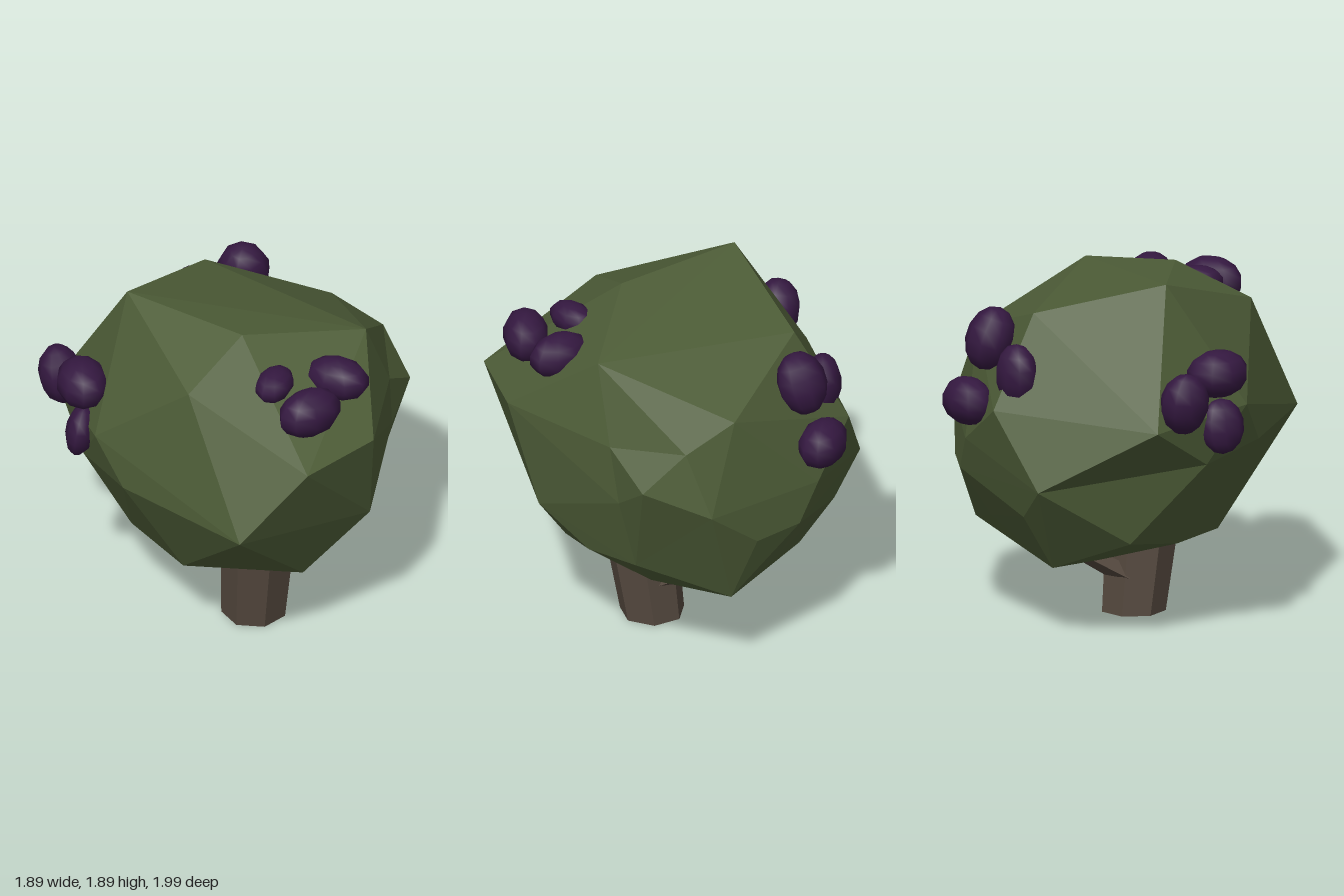
import * as THREE from 'three';
import { ConvexGeometry } from 'three/addons/geometries/ConvexGeometry.js';

const mat = (color, flatShading) => new THREE.MeshStandardMaterial({ color, flatShading });
const leafMat = mat(0x4d5c37, true);
const barkMat = mat(0x54483e, true);
const fruitMat = mat(0x341840, false);

// Corners of the faceted crown, from top to underside
const CROWN = [
  [-0.48, 1.89, 0.03], [0.15, 1.85, 0.3], [0.76, 1.75, 0.02],
  [-0.15, 1.71, -0.58], [-0.09, 1.68, 0.63], [0.5, 1.5, -0.66],
  [0.78, 1.4, -0.55], [0.56, 1.39, 0.88], [0.86, 1.4, 0.52],
  [0.865, 1.35, -0.13], [-0.6, 1.25, 0.43], [-0.27, 1.24, -0.84],
  [0.76, 1.06, -0.7], [0.87, 1.04, -0.19], [0.06, 1.02, -0.88],
  [0.22, 1.01, 0.99], [-0.44, 1.02, 0.55], [-0.69, 0.97, 0.18],
  [-0.57, 0.86, -0.7], [0.82, 0.84, 0.35], [0.2, 0.83, -0.86],
  [0.48, 0.83, -0.79], [-0.34, 0.68, -0.7], [0.76, 0.63, 0.08],
  [0.76, 0.63, -0.22], [-0.58, 0.55, -0.2], [0.17, 0.57, -0.7],
  [-0.45, 0.5, 0.1], [0.48, 0.48, 0.42], [-0.14, 0.48, 0.43],
  [0.53, 0.48, -0.66], [0.48, 0.38, -0.12], [-0.28, 0.38, -0.52],
  [-0.01, 0.33, -0.17],
];

// Bulges on the crown: outer corner first, then the crown corners they join
const LEFT_BULGE = [
  [0.94, 1.19, -0.39], [0.865, 1.35, -0.13], [0.87, 1.04, -0.19],
  [0.78, 1.4, -0.55], [0.76, 1.06, -0.7], [0.76, 0.63, -0.22], [0.4, 1.1, -0.3],
];
const RIGHT_BULGE = [
  [-0.87, 1.2, -0.15], [-0.48, 1.89, 0.03], [-0.15, 1.71, -0.58],
  [-0.27, 1.24, -0.84], [-0.57, 0.86, -0.7], [-0.69, 0.97, 0.18],
  [-0.6, 1.25, 0.43], [0, 1.2, 0],
];

// Fruit clusters: centre, radii, tilt about x, y, z
const CLUSTERS = {
  frontFruit: [
    [[0.54, 1.62, 0.63], [0.18, 0.13, 0.12], [0, 0.7, 0]],
    [[0.65, 1.65, 0.34], [0.175, 0.115, 0.12], [0, -0.3, 0]],
    [[0.34, 1.68, 0.48], [0.095, 0.08, 0.14], [0, -0.25, 0]],
  ],
  backFruit: [
    [[0.03, 1.55, -0.755], [0.14, 0.17, 0.125], [0.35, 0, 0]],
    [[0.02, 1.23, -0.88], [0.175, 0.125, 0.12], [0, 0.2, 0]],
    [[-0.23, 1.41, -0.7], [0.125, 0.165, 0.1], [0, 0.4, 0]],
  ],
  sideFruit: [
    [[-0.83, 1.34, 0.01], [0.115, 0.165, 0.13], [0, 0, 0.2]],
    [[-0.69, 1.45, 0.24], [0.135, 0.125, 0.175], [0, 0.3, 0]],
    [[-0.695, 1.17, 0.26], [0.078, 0.145, 0.12], [0, 0, -0.15]],
  ],
};

// Faceted leaf mass spanning the given corners
function leafMass(name, corners) {
  const geo = new ConvexGeometry(corners.map((c) => new THREE.Vector3(...c)));
  const mesh = new THREE.Mesh(geo, leafMat);
  mesh.name = name;
  return mesh;
}

// Tapered limb between two points; its end rings stay horizontal
function limb(name, from, to, r0, r1, sides) {
  const h = to[1] - from[1];
  const geo = new THREE.CylinderGeometry(r1, r0, h, sides, 1, false, Math.PI);
  geo.translate(0, h / 2, 0);
  const p = geo.attributes.position;
  for (let i = 0; i < p.count; i++) {
    const t = p.getY(i) / h;
    p.setX(i, p.getX(i) + t * (to[0] - from[0]));
    p.setZ(i, p.getZ(i) + t * (to[2] - from[2]));
  }
  geo.computeVertexNormals();
  const mesh = new THREE.Mesh(geo, barkMat);
  mesh.name = name;
  mesh.position.set(...from);
  return mesh;
}

export function createModel() {
  const tree = new THREE.Group();
  tree.name = 'fruitTree';

  tree.add(leafMass('crown', CROWN));
  tree.add(leafMass('leftBulge', LEFT_BULGE));
  tree.add(leafMass('rightBulge', RIGHT_BULGE));

  // Flaring trunk and a side branch rising under the crown to the back
  tree.add(limb('trunk', [0.185, 0, 0.08], [0.22, 0.58, 0.15], 0.17, 0.2, 7));
  tree.add(limb('branch', [0.17, 0.2, 0.05], [0.17, 0.54, -0.58], 0.13, 0.03, 5));

  // Oval fruits in groups of three
  const berry = new THREE.SphereGeometry(1, 9, 7);
  for (const [name, fruits] of Object.entries(CLUSTERS)) {
    const cluster = new THREE.Group();
    cluster.name = name;
    fruits.forEach(([pos, radii, tilt], i) => {
      const fruit = new THREE.Mesh(berry, fruitMat);
      fruit.name = `${name}${i + 1}`;
      fruit.position.set(...pos);
      fruit.scale.set(...radii);
      fruit.rotation.set(...tilt);
      cluster.add(fruit);
    });
    tree.add(cluster);
  }
  return tree;
}
